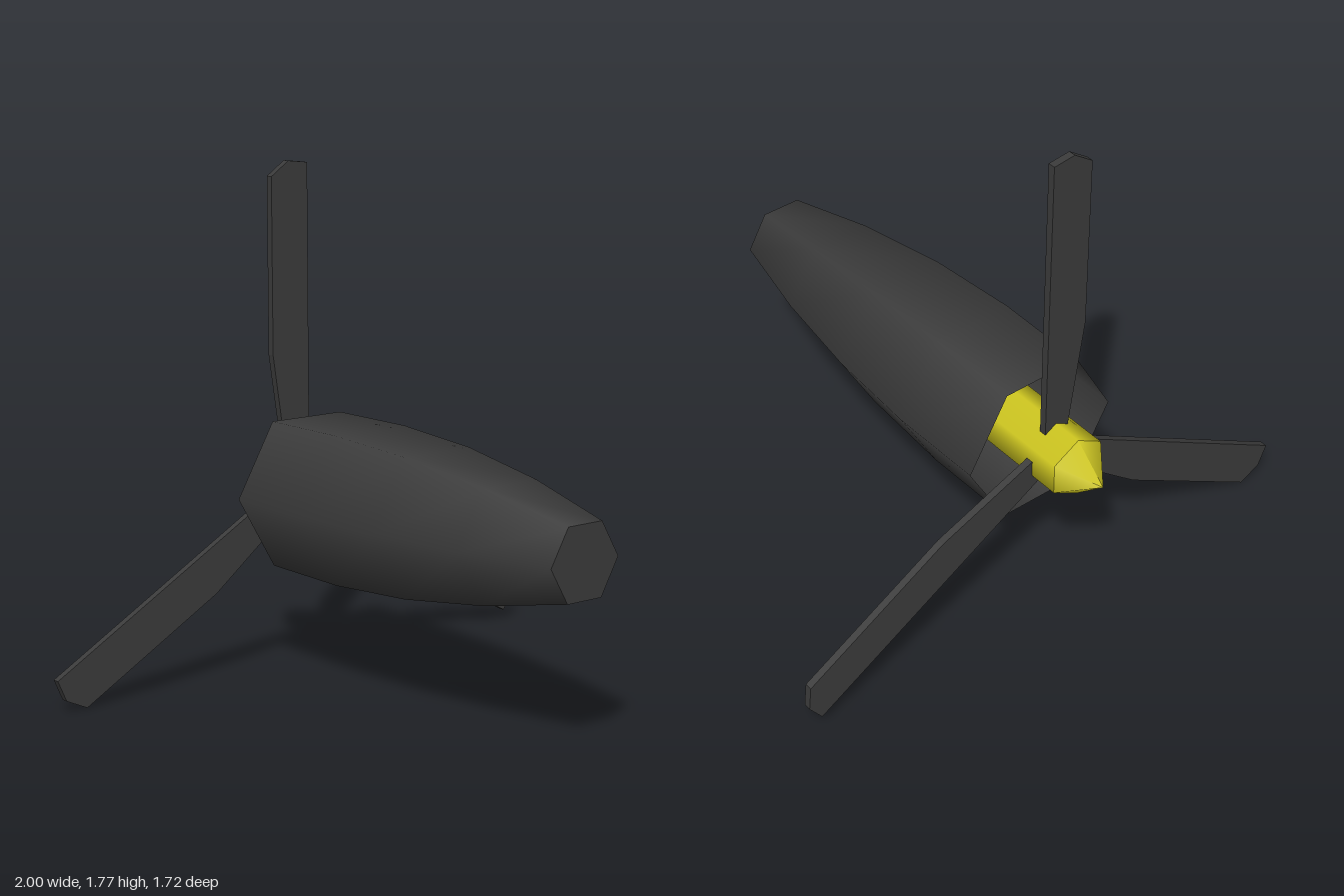
import * as THREE from 'three';

const AXIS_Y = 0.63;
const dark = new THREE.MeshStandardMaterial({ color: 0x3b3b3b });
const darkShell = new THREE.MeshStandardMaterial({ color: 0x3b3b3b, side: THREE.DoubleSide });
const yellow = new THREE.MeshStandardMaterial({ color: 0xd0c820, side: THREE.DoubleSide });

// Six-sided turned part lying along z; profile is a list of [radius, z]
function turned(name, profile, phiStart, material) {
  const points = profile.map(([r, z]) => new THREE.Vector2(r, z));
  const geometry = new THREE.LatheGeometry(points, 6, phiStart);
  geometry.rotateX(Math.PI / 2);
  const mesh = new THREE.Mesh(geometry, material);
  mesh.name = name;
  return mesh;
}

function bladeGeometry() {
  // Straight edge on one side, kinked edge and clipped tip on the other
  const outline = [
    [0.045, 0.02], [0.045, 1.128], [-0.035, 1.137], [-0.107, 1.087],
    [-0.107, 0.473], [-0.04, 0.02],
  ].map(([x, y]) => new THREE.Vector2(x, y));
  const geometry = new THREE.ExtrudeGeometry(new THREE.Shape(outline), {
    depth: 0.026, bevelEnabled: false,
  });
  geometry.translate(0, 0, -0.628);
  return geometry;
}

export function createModel() {
  const model = new THREE.Group();
  model.name = 'propellerEngine';
  const engine = new THREE.Group();
  engine.name = 'engine';
  engine.position.y = AXIS_Y;
  model.add(engine);

  // Hollow tapering housing, open at the propeller end
  engine.add(turned('housing', [
    [0.293, -0.555], [0.296, -0.2], [0.273, 0.15], [0.22, 0.51], [0.141, 0.86],
  ], Math.PI / 2, darkShell));

  // Flat cap on the narrow end
  const cap = new THREE.Mesh(new THREE.CircleGeometry(0.141, 6), darkShell);
  cap.name = 'housingCap';
  cap.position.z = 0.86;
  engine.add(cap);

  // Shaft running into the housing, with a pointed spinner
  engine.add(turned('shaft', [[0.112, -0.735], [0.112, 0]], 0, yellow));
  engine.add(turned('spinner', [[0, -0.86], [0.112, -0.735]], 0, yellow));

  // Three blades around the shaft
  const geometry = bladeGeometry();
  for (let i = 0; i < 3; i++) {
    const blade = new THREE.Mesh(geometry, dark);
    blade.name = `blade${i + 1}`;
    blade.rotation.z = (i * Math.PI * 2) / 3;
    engine.add(blade);
  }
  return model;
}
